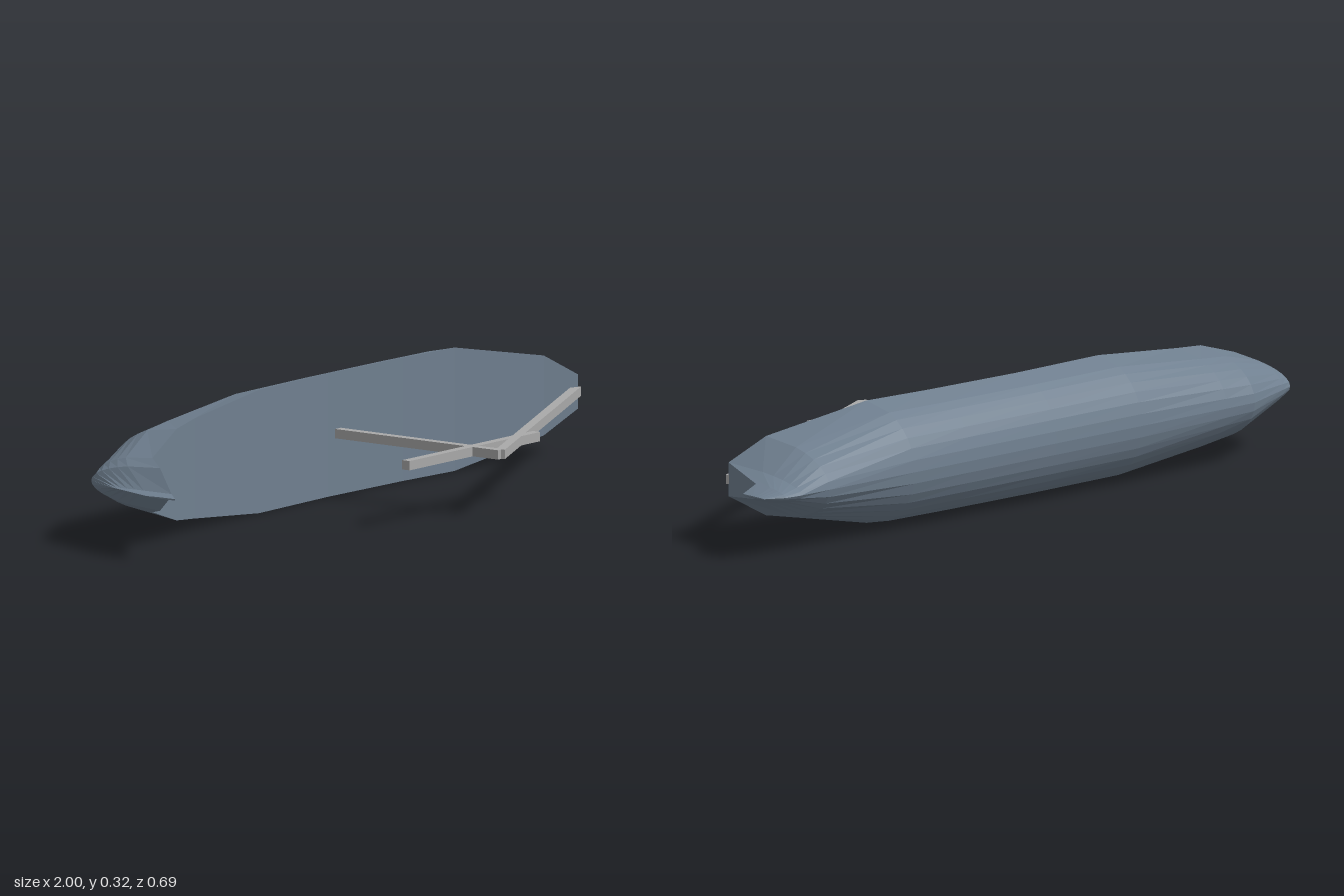
import * as THREE from 'three';

const MID = 0.16; // height of the hull's centre line

// Stations along the hull: x, half width, rim z, keel z
const STATIONS = [
  [-1, 0.002, 0.09, 0.0],
  [-0.95, 0.003, 0.04, -0.15],
  [-0.9, 0.055, -0.035, -0.255],
  [-0.86, 0.07, -0.09, -0.272],
  [-0.7, 0.118, -0.135, -0.335],
  [-0.6, 0.129, -0.155, -0.337],
  [-0.3, 0.159, -0.178, -0.339],
  [0, 0.159, -0.187, -0.34],
  [0.3, 0.159, -0.179, -0.342],
  [0.5, 0.159, -0.165, -0.343],
  [0.8, 0.103, -0.11, -0.345],
  [0.9, 0.044, -0.077, -0.345],
  [0.95, 0.02, -0.23, -0.34],
  [1, 0.002, -0.235, -0.312],
];

// Half-ellipse angles in degrees, from one rim over the keel to the other
const HALF = [0, 28, 38, 48, 58, 68, 79];
const ANGLES = [...HALF, 90, ...HALF.map((a) => 180 - a).reverse()];

function hullGeometry() {
  const rings = STATIONS.map(([x, half, rim, keel]) => ANGLES.map((deg) => {
    const a = THREE.MathUtils.degToRad(deg);
    return [x, MID + half * Math.cos(a), rim + (keel - rim) * Math.sin(a)];
  }));
  const pos = [];
  const tri = (a, b, c) => pos.push(...a, ...b, ...c);
  const n = ANGLES.length;
  // Skin; the last strip of every ring closes the deck
  for (let s = 0; s < rings.length - 1; s++) {
    for (let i = 0; i < n; i++) {
      const j = (i + 1) % n;
      const p = rings[s], q = rings[s + 1];
      tri(p[i], q[i], q[j]);
      tri(p[i], q[j], p[j]);
    }
  }
  // End caps
  const first = rings[0], last = rings[rings.length - 1];
  for (let i = 1; i < n - 1; i++) {
    tri(first[0], first[i], first[i + 1]);
    tri(last[0], last[i + 1], last[i]);
  }
  const geo = new THREE.BufferGeometry();
  geo.setAttribute('position', new THREE.Float32BufferAttribute(pos, 3));
  geo.computeVertexNormals();
  return geo;
}

// Square bar between two points in the hull's middle plane
function spar(name, [x1, z1], [x2, z2], material) {
  const dx = x2 - x1, dz = z2 - z1;
  const bar = new THREE.Mesh(new THREE.BoxGeometry(Math.hypot(dx, dz), 0.024, 0.024), material);
  bar.name = name;
  bar.position.set((x1 + x2) / 2, MID, (z1 + z2) / 2);
  bar.rotation.y = Math.atan2(-dz, dx);
  return bar;
}

export function createModel() {
  const slate = new THREE.MeshStandardMaterial({ color: 0x708090 });
  slate.name = 'slate hull';
  const grey = new THREE.MeshStandardMaterial({ color: 0xa9a9a9 });
  grey.name = 'grey spars';

  const model = new THREE.Group();
  model.name = 'boatOnItsSide';

  const hull = new THREE.Mesh(hullGeometry(), slate);
  hull.name = 'hull';
  model.add(hull);

  model.add(
    spar('mast', [0.04, -0.195], [0.04, 0.335], grey),
    spar('crossYard', [-0.235, 0.242], [0.31, 0.242], grey),
    spar('sternStay', [0.04, 0.333], [0.9, -0.083], grey),
  );
  return model;
}
